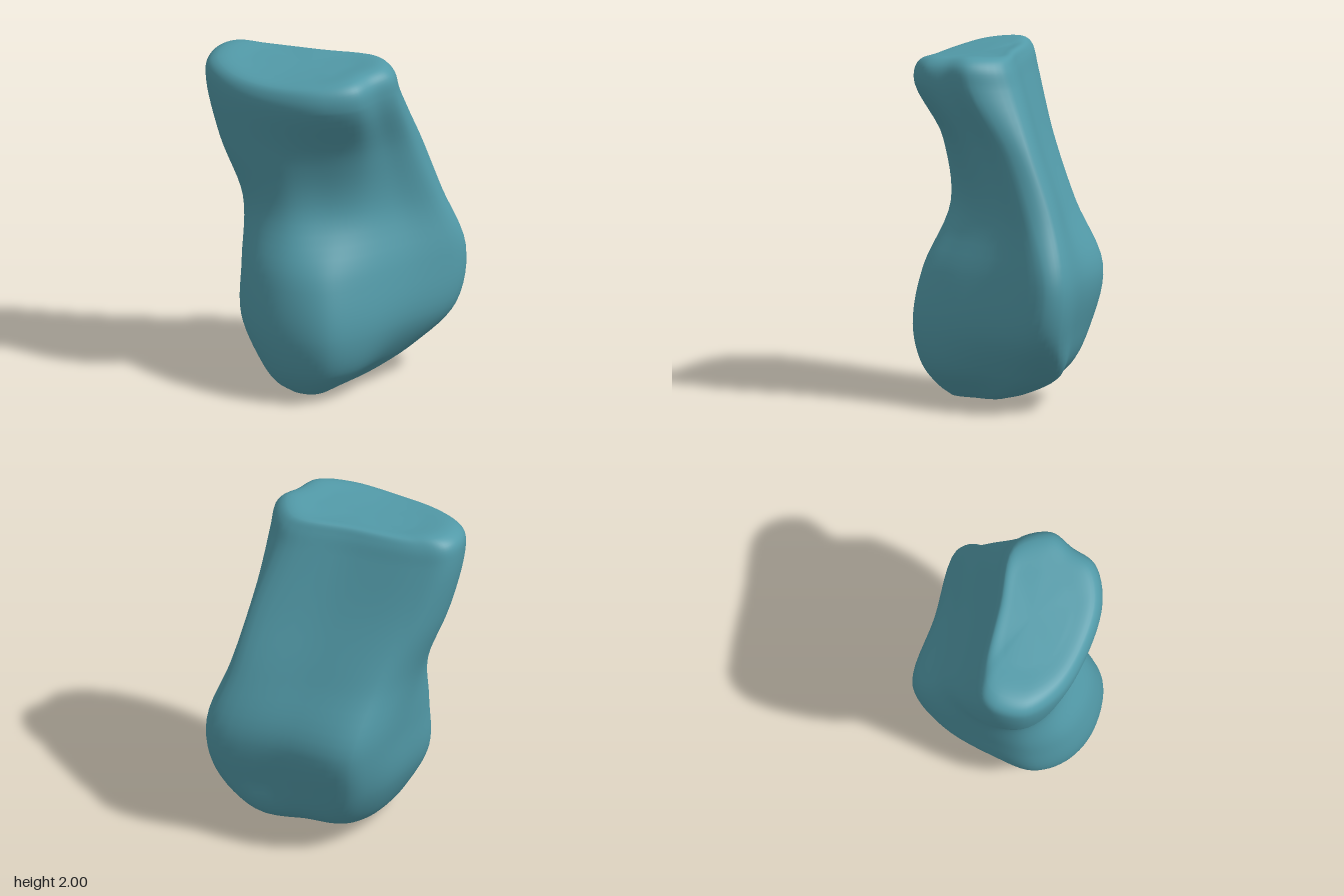
import * as THREE from 'three';

const AROUND = 72; // samples round each section
const PER_LEVEL = 6; // rows between neighbouring sections

// Section corners [x, z], running left, front, right, back
const foot = [[-0.25, 0.16], [-0.21, 0.36], [-0.1, 0.48], [0.08, 0.52], [0.3, 0.44], [0.385, 0.27], [0.39, -0.3], [0.3, -0.42], [-0.16, -0.25], [-0.24, -0.09]];
const belly = [[-0.35, 0.16], [-0.31, 0.4], [-0.16, 0.53], [0.08, 0.57], [0.34, 0.475], [0.44, 0.28], [0.56, -0.43], [0.46, -0.53], [-0.26, -0.33], [-0.345, -0.15]];
const hip = [[-0.385, 0.1], [-0.33, 0.37], [-0.16, 0.515], [0.08, 0.53], [0.29, 0.43], [0.4, 0.24], [0.58, -0.485], [0.49, -0.573], [-0.31, -0.38], [-0.39, -0.21]];
const waist = [[-0.42, 0.16], [-0.35, 0.34], [-0.19, 0.435], [0.015, 0.415], [0.18, 0.28], [0.315, 0.12], [0.5, -0.35], [0.42, -0.465], [-0.335, -0.19], [-0.415, -0.05]];
const neck = [[-0.525, 0.23], [-0.445, 0.425], [-0.26, 0.51], [0, 0.47], [0.21, 0.335], [0.36, 0.165], [0.46, -0.19], [0.39, -0.315], [-0.385, -0.02], [-0.49, 0.07]];
const crown = [[-0.58, 0.3], [-0.51, 0.47], [-0.3, 0.57], [0, 0.57], [0.31, 0.485], [0.47, 0.335], [0.5, 0.01], [0.33, -0.155], [-0.42, 0.1], [-0.555, 0.19]];

// Rings that shrink a section: height, x scale, x shift, z scale, z shift, share of the tilt
const baseRings = [[0.015, 0.375, 0.034, 0.37, 0.175, 0], [0.07, 0.64, 0.01, 0.65, 0.1, 0]];
const crownRings = [[1.8, 1, 0, 1, 0, 0.3], [1.9, 0.98, 0, 0.93, 0.035, 0.8], [1.952, 0.86, 0, 0.83, 0.06, 1], [1.968, 0.5, 0, 0.5, 0.12, 1]];

// The top surface dips toward the front and rises toward both sides
const tilt = (x, z) => 0.02 * x + 0.2 * x * x - 0.07 * z;

// Closed curve through the corners, with the long right and back sides kept straight
function ring(corners, [y, sx, dx, sz, dz, share]) {
  const p = corners.map(([cx, cz]) => {
    const x = cx * sx + dx, z = cz * sz + dz;
    return new THREE.Vector3(x, y + share * tilt(x, z), z);
  });
  const middle = (a, b) => p[a].clone().lerp(p[b], 0.5);
  const points = [...p.slice(0, 6), middle(5, 6), p[6], p[7], middle(7, 8), p[8], p[9]];
  return new THREE.CatmullRomCurve3(points, true, 'centripetal');
}

function createRings() {
  const level = (corners, y) => ring(corners, [y, 1, 0, 1, 0, 0]);
  return [
    ...baseRings.map((r) => ring(foot, r)),
    level(foot, 0.2),
    level(belly, 0.43),
    level(hip, 0.75),
    level(waist, 1.1),
    level(neck, 1.46),
    ...crownRings.map((r) => ring(crown, r)),
  ];
}

function createBodyGeometry() {
  const rings = createRings();

  // Smooth columns through the sections
  const rows = (rings.length - 1) * PER_LEVEL;
  const positions = [];
  for (let i = 0; i < AROUND; i++) {
    const column = new THREE.CatmullRomCurve3(rings.map((r) => r.getPoint(i / AROUND)), false, 'centripetal');
    for (let j = 0; j <= rows; j++) positions.push(...column.getPoint(j / rows).toArray());
  }
  const bottom = positions.length / 3, top = bottom + 1;
  positions.push(0.07, 0, 0.22, 0, 1.97 + tilt(0, 0.22), 0.22);

  // Skin, closed at both ends by a fan
  const at = (i, j) => (i % AROUND) * (rows + 1) + j;
  const index = [];
  for (let i = 0; i < AROUND; i++) {
    for (let j = 0; j < rows; j++) {
      const a = at(i, j), b = at(i + 1, j), c = at(i + 1, j + 1), d = at(i, j + 1);
      index.push(a, b, c, a, c, d);
    }
    index.push(bottom, at(i + 1, 0), at(i, 0), top, at(i, rows), at(i + 1, rows));
  }

  const geometry = new THREE.BufferGeometry();
  geometry.setAttribute('position', new THREE.Float32BufferAttribute(positions, 3));
  geometry.setIndex(index);
  geometry.computeVertexNormals();
  return geometry;
}

export function createModel() {
  const group = new THREE.Group();
  group.name = 'smoothStone';
  const body = new THREE.Mesh(createBodyGeometry(), new THREE.MeshStandardMaterial({ color: 0x529aa8 }));
  body.name = 'body';
  group.add(body);
  return group;
}
